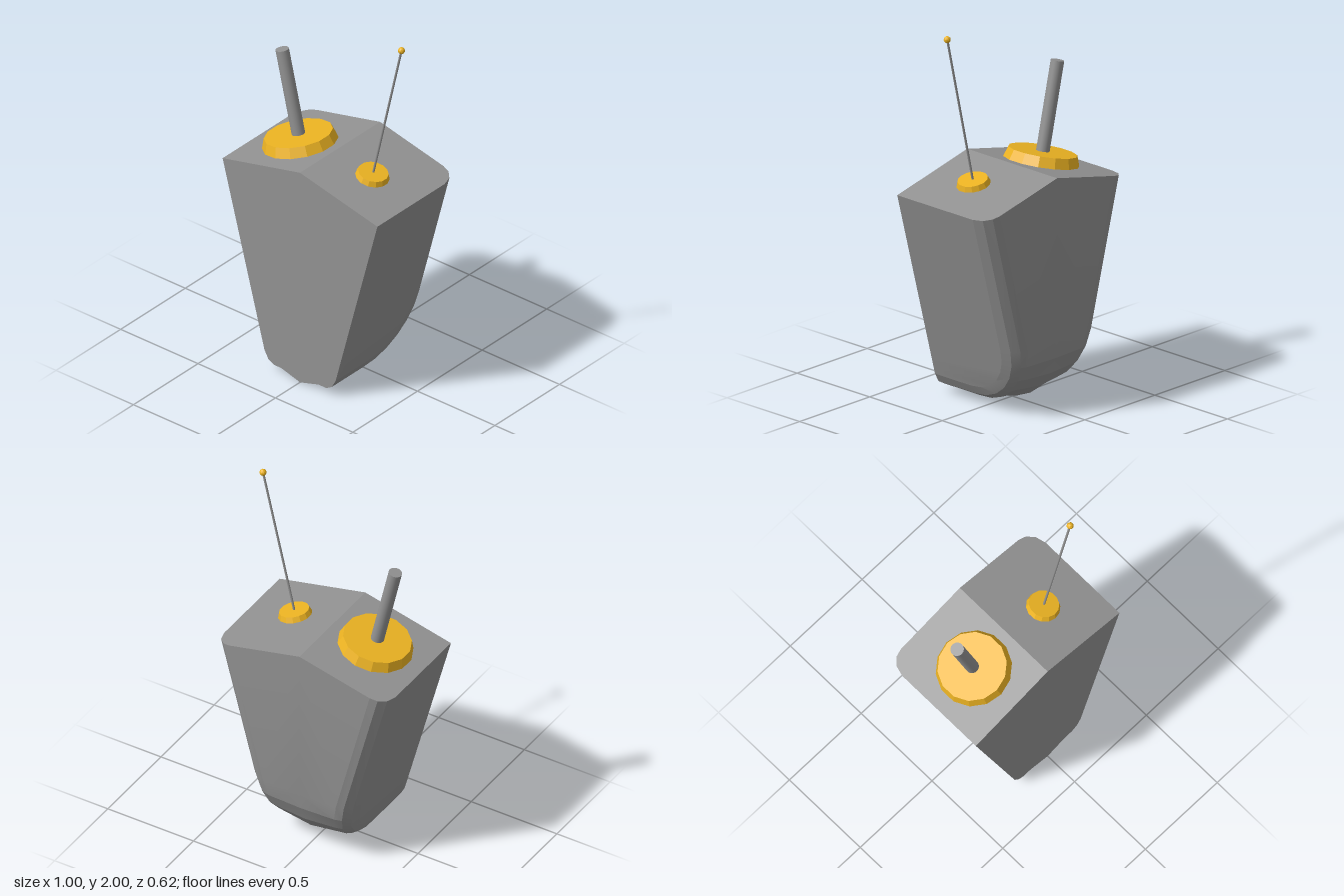
import * as THREE from 'three';
import { toCreasedNormals } from 'three/addons/utils/BufferGeometryUtils.js';

const grey = new THREE.MeshStandardMaterial({ color: 0x929292 });
const gold = new THREE.MeshStandardMaterial({ color: 0xecb322, flatShading: true });

const FRONT = 0.31, BACK = -0.31, RADIUS = 0.37, TILT = 0.228;
const roofY = (x) => 1.226 - 0.23 * Math.abs(x);
const halfWidth = (y) => 0.23 + (y - 0.1) * (0.27 / 1.01);

// Rounded back edge: inset from the side and depth from the skin, at the top and at the bottom
const EDGE = [
  { inset: [0, 0], depth: [0.1, 0.1] },
  { inset: [0.015, 0.025], depth: [0.045, 0.055] },
  { inset: [0.05, 0.06], depth: [0.01, 0.035] },
  { inset: [0.09, 0.11], depth: [0, 0.035] },
];

// One section of the body: y, z on the spine, angle of the skin (0 = back, PI/2 = underside)
function section(y, z, angle, isTop) {
  const k = angle / (Math.PI / 2);
  const mix = (p) => p[0] + (p[1] - p[0]) * k;
  const at = (d) => [y + d * Math.sin(angle), z + d * Math.cos(angle)];
  const width = isTop ? 0.5 : halfWidth(at(EDGE[0].depth[0])[0]);
  const half = EDGE.map((e) => {
    const x = width - mix(e.inset);
    const [py, pz] = at(mix(e.depth));
    return new THREE.Vector3(x, isTop ? roofY(x) : py, pz);
  });
  half.unshift(new THREE.Vector3(width, half[0].y, FRONT));
  const mirrored = half.map((p) => new THREE.Vector3(-p.x, p.y, p.z)).reverse();
  return [...half, new THREE.Vector3(0, y, z), ...mirrored];
}

function bodyGeometry() {
  const rows = [section(roofY(0), BACK, 0, true)];
  const steps = 6;
  for (let i = 0; i <= steps; i++) {
    const a = (i / steps) * Math.PI / 2;
    rows.push(section(
      RADIUS * (1 - Math.sin(a)), BACK + RADIUS * (1 - Math.cos(a)), a, false));
  }
  rows.push(section(0, FRONT, Math.PI / 2, false));

  const pts = [];
  const tri = (a, b, c) => pts.push(a, b, c);
  const last = rows[0].length - 1;

  // Sides, back and underside, with the diagonals mirrored about the middle
  for (let i = 0; i < rows.length - 1; i++) {
    for (let j = 0; j < last; j++) {
      const a = rows[i][j], b = rows[i + 1][j];
      const c = rows[i + 1][j + 1], d = rows[i][j + 1];
      if (j < last / 2) {
        tri(a, b, d);
        tri(b, c, d);
      } else {
        tri(a, b, c);
        tri(a, c, d);
      }
    }
  }
  // Ridged roof
  const ridge = new THREE.Vector3(0, roofY(0), FRONT);
  for (let j = 0; j < last; j++) tri(ridge, rows[0][j], rows[0][j + 1]);
  // Flat front
  const loop = [
    ridge,
    ...rows.map((r) => r[last]),
    ...[...rows[rows.length - 1]].reverse(),
    ...rows.map((r) => r[0]).reverse(),
  ];
  const middle = new THREE.Vector3(0, 0.6, FRONT);
  loop.forEach((p, i) => tri(middle, p, loop[(i + 1) % loop.length]));

  // A small crease angle keeps the facets but hides the diagonals
  return toCreasedNormals(new THREE.BufferGeometry().setFromPoints(pts), 0.2);
}

function addMesh(parent, name, geometry, material, y = 0) {
  const mesh = new THREE.Mesh(geometry, material);
  mesh.name = name;
  mesh.position.y = y;
  parent.add(mesh);
}

// Fitting that stands square on one slope of the roof: a bevelled disc with a rod
function roofFitting(name, x, z, disc, rod) {
  const group = new THREE.Group();
  group.name = name;
  group.position.set(x, roofY(x), z);
  group.rotation.z = -Math.sign(x) * TILT;
  addMesh(group, name + 'Disc',
    new THREE.CylinderGeometry(disc.top, disc.bottom, disc.height, 14), gold, disc.height / 2);
  addMesh(group, name + 'Rod',
    new THREE.CylinderGeometry(rod.radius, rod.radius, rod.length, rod.sides), grey, rod.length / 2);
  return group;
}

export function createModel() {
  const model = new THREE.Group();
  model.name = 'model';
  addMesh(model, 'body', bodyGeometry(), grey);

  model.add(roofFitting('post', -0.235, 0.027,
    { top: 0.175, bottom: 0.193, height: 0.052 },
    { radius: 0.034, length: 0.515, sides: 24 }));

  const antenna = roofFitting('antenna', 0.239, 0.036,
    { top: 0.077, bottom: 0.087, height: 0.028 },
    { radius: 0.006, length: 0.83, sides: 10 });
  addMesh(antenna, 'antennaTip', new THREE.SphereGeometry(0.018, 10, 8), gold, 0.831);
  model.add(antenna);

  return model;
}
